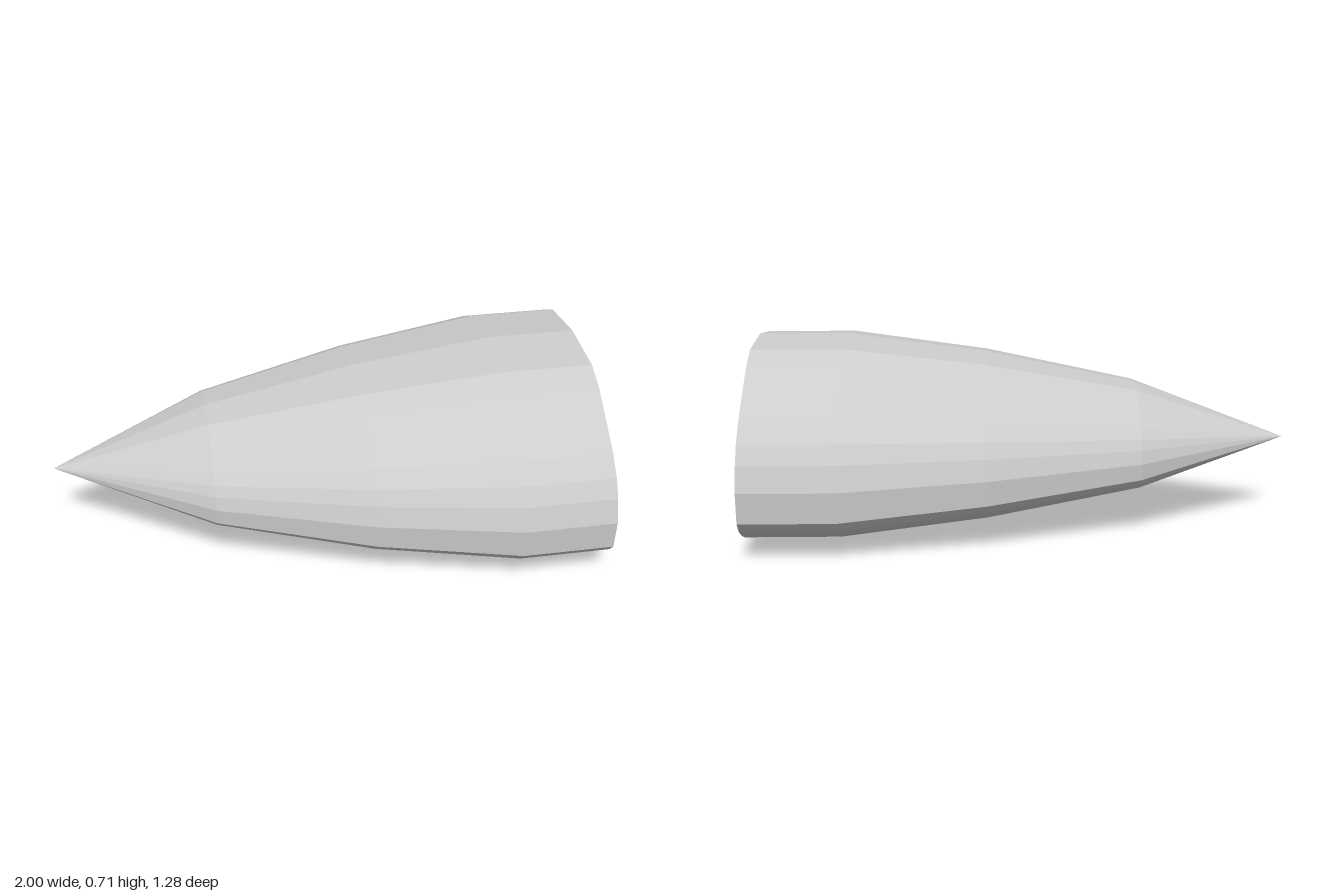
import * as THREE from 'three';

// Half of the full-size cross-section as [z, y], from top centre down to the keel
const HALF = [
  [0, 0.71], [0.23, 0.685], [0.32, 0.64], [0.44, 0.545], [0.52, 0.48],
  [0.58, 0.412], [0.615, 0.345], [0.64, 0.255], [0.632, 0.145], [0.6, 0.11],
  [0.555, 0.083], [0.5, 0.059], [0.405, 0.031], [0.32, 0.014], [0.195, 0.002], [0, 0],
];

// Stations along the nose as [x, scale of the cross-section about the tip axis]
const STATIONS = [[-1, 0], [-0.42, 0.54], [0.14, 0.826], [0.66, 1], [1, 1]];
const AXIS_Y = 0.3;

export function createModel() {
  const group = new THREE.Group();
  group.name = 'noseCone';
  const material = new THREE.MeshStandardMaterial({ color: 0xcccccc, flatShading: true });

  // Full outline: one half plus its mirror image
  const outline = [...HALF, ...HALF.slice(1, -1).reverse().map(([z, y]) => [-z, y])];
  const n = outline.length;
  const point = (s, i) => {
    const [x, k] = STATIONS[s];
    const [z, y] = outline[i % n];
    return [x, AXIS_Y + (y - AXIS_Y) * k, z * k];
  };

  const addMesh = (name, positions) => {
    const geometry = new THREE.BufferGeometry();
    geometry.setAttribute('position', new THREE.Float32BufferAttribute(positions, 3));
    geometry.computeVertexNormals();
    const mesh = new THREE.Mesh(geometry, material);
    mesh.name = name;
    group.add(mesh);
  };

  // Faceted shell tapering to the tip
  const shell = [];
  for (let s = 0; s < STATIONS.length - 1; s++) {
    for (let i = 0; i < n; i++) {
      const a = point(s, i), b = point(s, i + 1);
      const c = point(s + 1, i + 1), d = point(s + 1, i);
      shell.push(...a, ...c, ...d);
      if (s > 0) shell.push(...a, ...b, ...c);
    }
  }
  addMesh('shell', shell);

  // Flat end wall closing the wide end
  const end = [];
  const last = STATIONS.length - 1;
  for (let i = 0; i < n; i++) {
    end.push(STATIONS[last][0], AXIS_Y, 0, ...point(last, i), ...point(last, i + 1));
  }
  addMesh('endWall', end);

  return group;
}
